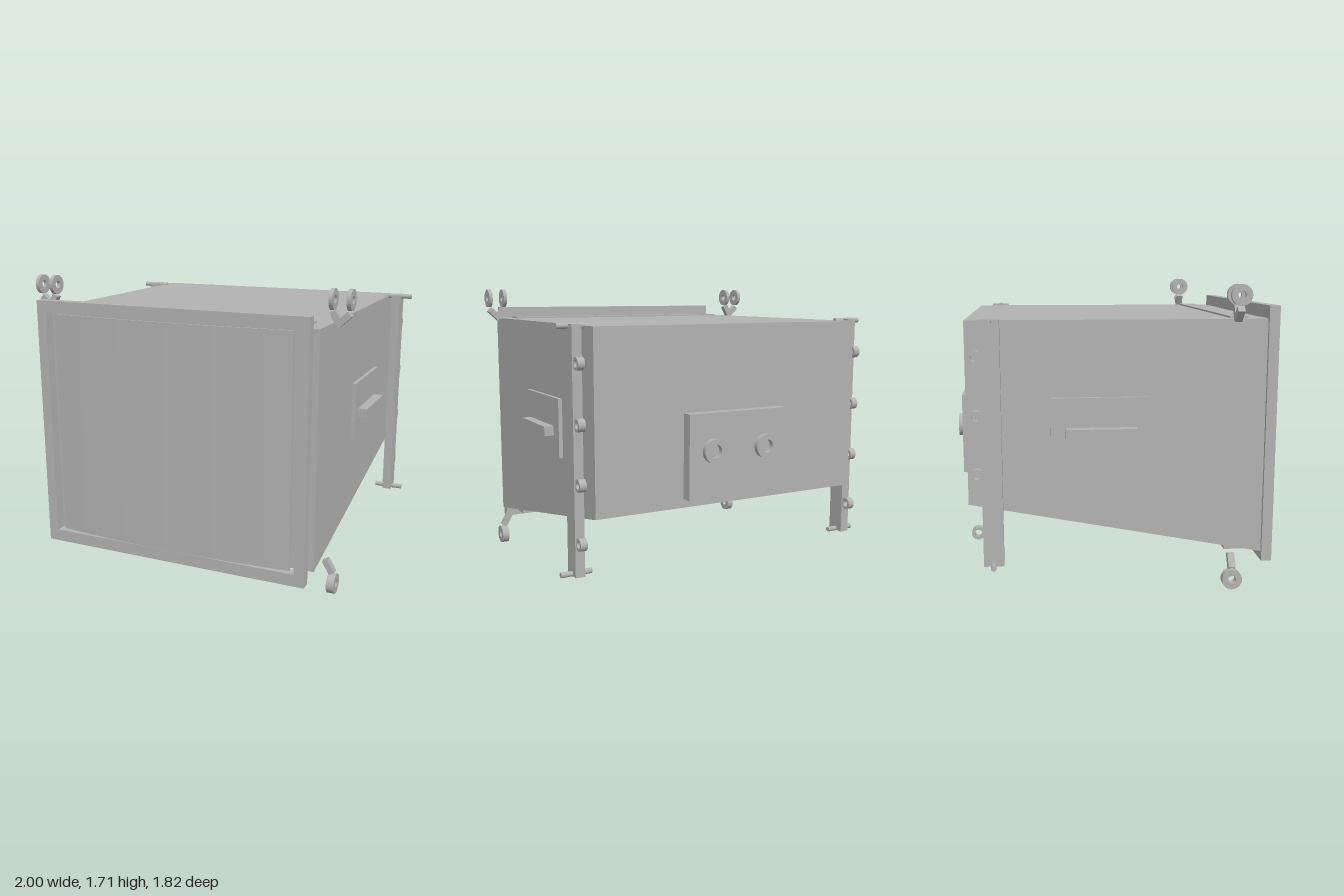
import * as THREE from 'three';

export function createModel() {
  const model = new THREE.Group();
  model.name = 'cabinet';
  const grey = new THREE.MeshStandardMaterial({ color: 0xb2b2b2 });
  grey.name = 'grey';

  const add = (name, geometry, x = 0, y = 0, z = 0) => {
    const mesh = new THREE.Mesh(geometry, grey);
    mesh.name = name;
    mesh.position.set(x, y, z);
    model.add(mesh);
    return mesh;
  };

  // Box given by its limits on each axis
  const box = (name, x0, x1, y0, y1, z0, z1) =>
    add(name, new THREE.BoxGeometry(Math.abs(x1 - x0), y1 - y0, z1 - z0),
      (x0 + x1) / 2, (y0 + y1) / 2, (z0 + z1) / 2);

  // Outline extruded along z, centred on its depth
  const slab = (shape, depth, segments = 24) =>
    new THREE.ExtrudeGeometry(shape, { depth, bevelEnabled: false, curveSegments: segments })
      .translate(0, 0, -depth / 2);

  const ring = (radius, hole, depth) => {
    const shape = new THREE.Shape().absarc(0, 0, radius, 0, Math.PI * 2, false);
    shape.holes.push(new THREE.Path().absarc(0, 0, hole, 0, Math.PI * 2, true));
    return slab(shape, depth);
  };

  const rectangle = (Type, x, y0, y1) => new Type([
    new THREE.Vector2(-x, y0), new THREE.Vector2(x, y0),
    new THREE.Vector2(x, y1), new THREE.Vector2(-x, y1)]);

  // Square bar between two points of an x-y plane
  const bar = (name, x0, y0, x1, y1, z, width) => {
    const mesh = add(name, new THREE.BoxGeometry(width, Math.hypot(x1 - x0, y1 - y0), 0.04),
      (x0 + x1) / 2, (y0 + y1) / 2, z);
    mesh.rotation.z = -Math.atan2(x1 - x0, y1 - y0);
  };

  // Body with a rising underside
  const profile = new THREE.Shape([[0.83, 0.2], [0.83, 1.53], [-0.82, 1.53], [-0.82, 0.52]]
    .map(([z, y]) => new THREE.Vector2(z, y)));
  add('body', slab(profile, 1.7).rotateY(-Math.PI / 2));
  box('frontLip', -0.79, 0.79, 0.21, 1.52, 0.83, 0.84);

  // Front frame
  const frame = rectangle(THREE.Shape, 0.82, 0.13, 1.6);
  frame.holes.push(rectangle(THREE.Path, 0.76, 0.2, 1.53));
  add('frontFrame', slab(frame, 0.06), 0, 0, 0.875);

  // Gently bowed front panel
  const panel = new THREE.BoxGeometry(1.45, 1.32, 0.012, 20, 1, 1);
  const pos = panel.attributes.position;
  for (let i = 0; i < pos.count; i++) {
    const t = pos.getX(i) / 0.725;
    pos.setZ(i, pos.getZ(i) + 0.035 * (1 - t * t));
  }
  panel.computeVertexNormals();
  add('frontPanel', panel, 0, 0.862, 0.867);

  // Strips above and below the front edge
  box('topStrip', -0.77, 0.77, 1.53, 1.54, 0.635, 0.74);
  box('bottomStrip', -0.77, 0.77, 0.19, 0.235, 0.635, 0.74);

  // Rear connection plate with two sockets
  box('rearPlate', -0.32, 0.32, 0.57, 1.05, -0.885, -0.82);
  for (const x of [-0.17, 0.17]) add('rearSocket', ring(0.068, 0.038, 0.03), x, 0.84, -0.9);

  for (const s of [-1, 1]) {
    // Side handle on its mounting plate
    box('handlePlate', s * 0.85, s * 0.873, 0.77, 1.11, -0.365, 0.17);
    box('handle', s * 0.873, s * 0.93, 0.89, 0.945, -0.285, 0.105);

    // Rear rail with cross pins and rings
    box('rail', s * 0.88, s * 0.935, 0.19, 1.54, -0.74, -0.63);
    for (const y of [0.2, 1.53])
      add('railPin', new THREE.CylinderGeometry(0.015, 0.015, 0.18, 16).rotateZ(Math.PI / 2),
        s * 0.91, y, -0.685);
    for (const y of [0.38, 0.7, 1.02, 1.34])
      add('railRing', ring(0.035, 0.02, 0.04).rotateY(Math.PI / 2), s * 0.907, y, -0.765);

    // Forked upper lug with two eyes
    bar('upperLugArm', s * 0.9, 1.53, s * 0.862, 1.6, 0.65, 0.035);
    bar('upperLugArm', s * 0.89, 1.53, s * 0.955, 1.59, 0.65, 0.035);
    for (const x of [0.861, 0.957])
      add('upperEye', ring(0.057, 0.022, 0.022).rotateY(Math.PI / 2), s * x, 1.662, 0.65);

    // Lower lug with a single eye
    bar('lowerLugArm', s * 0.862, 0.2, s * 0.905, 0.125, 0.65, 0.035);
    add('lowerEye', ring(0.057, 0.022, 0.044).rotateY(Math.PI / 2), s * 0.906, 0.063, 0.65);
  }
  return model;
}
